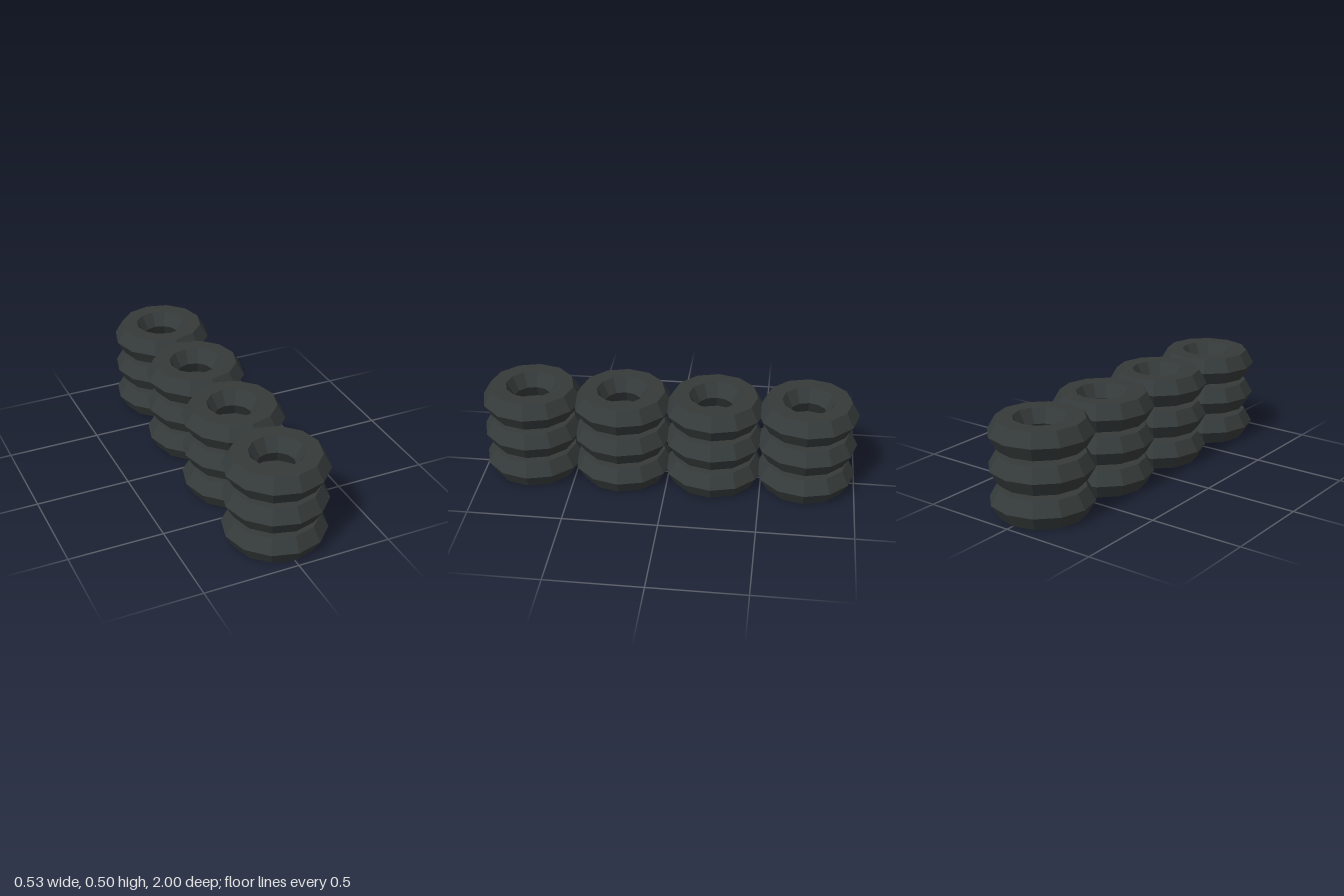
import * as THREE from 'three';

// Tyre barrier: four touching stacks of three low-poly tyres
export function createModel() {
  const group = new THREE.Group();
  group.name = 'tyreBarrier';

  const rubber = new THREE.MeshStandardMaterial({ color: 0x353b3a, flatShading: true });

  // Twelve-sided ring with a hexagonal section, laid flat
  const ringRadius = 0.182;
  const tubeRadius = 0.085;
  const tyreGeometry = new THREE.TorusGeometry(ringRadius, tubeRadius, 6, 12).rotateX(-Math.PI / 2);

  const halfHeight = tubeRadius * Math.sin(Math.PI / 3);
  const layerStep = 0.1765;
  const stackStep = 0.489;

  for (let s = 0; s < 4; s++) {
    const stack = new THREE.Group();
    stack.name = `tyreStack${s + 1}`;
    stack.position.z = (1.5 - s) * stackStep;
    for (let layer = 0; layer < 3; layer++) {
      const tyre = new THREE.Mesh(tyreGeometry, rubber);
      tyre.name = `tyre${layer + 1}`;
      tyre.position.y = halfHeight + layer * layerStep;
      stack.add(tyre);
    }
    group.add(stack);
  }
  return group;
}
